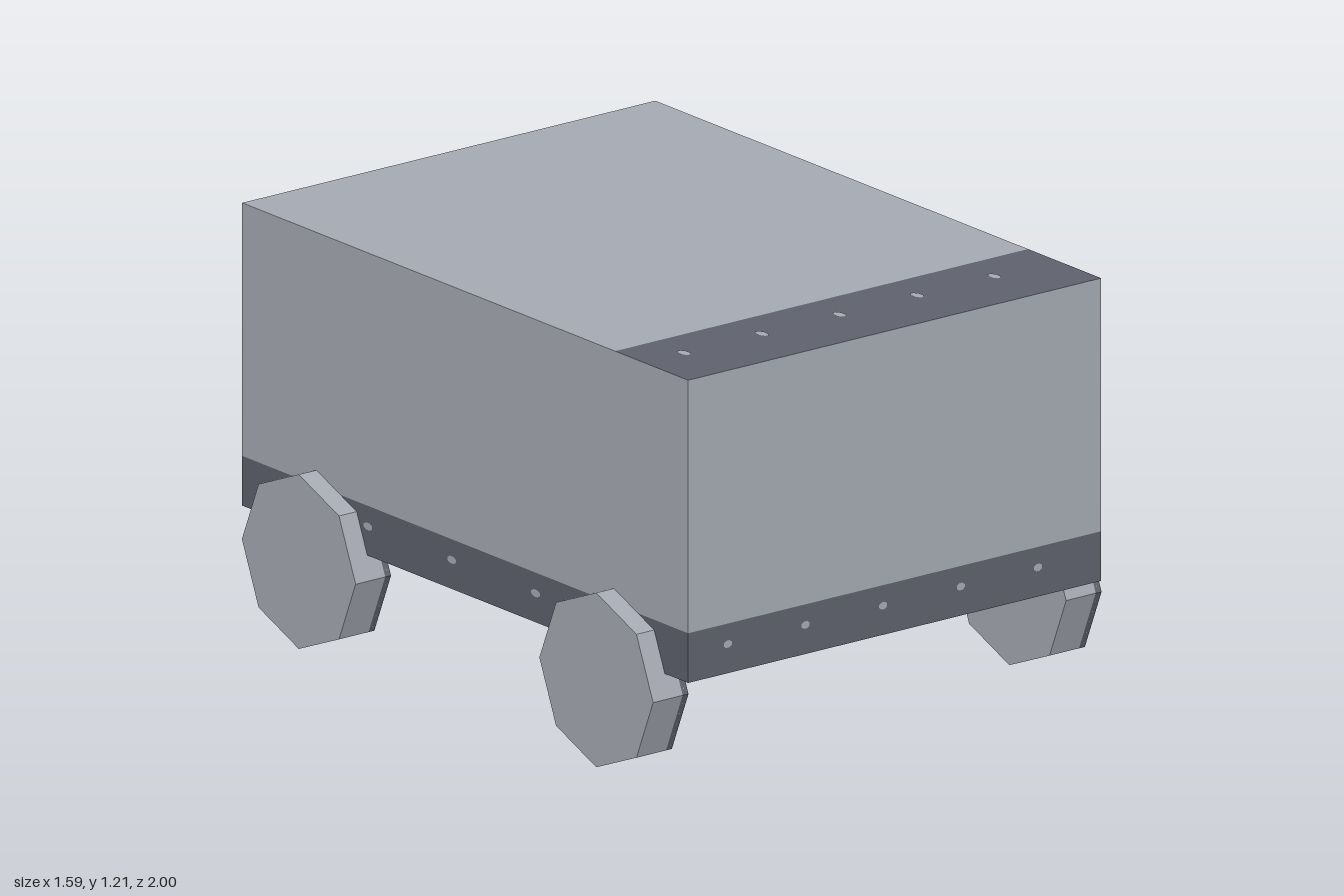
import * as THREE from 'three';

const paint = new THREE.MeshStandardMaterial({ name: 'lightGrey', color: 0xa4a8b1 });
const trim = new THREE.MeshStandardMaterial({ name: 'darkGrey', color: 0x5e606c });

const BAND = 0.164;                              // share of a panel taken by its dark band
const RIVETS = [0.095, 0.283, 0.471, 0.659, 0.846]; // rivet positions across a panel

function add(parent, name, geometry, material, x = 0, y = 0, z = 0) {
  const mesh = new THREE.Mesh(geometry, material);
  mesh.name = name;
  mesh.position.set(x, y, z);
  parent.add(mesh);
  return mesh;
}

// Flat panel with a riveted dark band along its lower edge, set by centre, normal and up
function panel(name, w, h, centre, normal, up, lift) {
  const g = new THREE.Group();
  g.name = name;
  const band = h * BAND;
  add(g, 'plate', new THREE.PlaneGeometry(w, h - band), paint, 0, band / 2, 0);
  add(g, 'band', new THREE.PlaneGeometry(w, band), trim, 0, (band - h) / 2, 0);
  const rivet = new THREE.CircleGeometry(0.5, 8, Math.PI / 8).scale(w * 0.021, h * 0.026, 1);
  for (const u of RIVETS) add(g, 'rivet', rivet, paint, (u - 0.5) * w, (0.097 - 0.5) * h, lift);
  const right = new THREE.Vector3().crossVectors(up, normal);
  g.quaternion.setFromRotationMatrix(new THREE.Matrix4().makeBasis(right, up, normal));
  g.position.copy(centre);
  return g;
}

const V = (x, y, z) => new THREE.Vector3(x, y, z);

function makeBody() {
  const W = 1.46, H = 0.885, D = 2;
  const body = new THREE.Group();
  body.name = 'body';
  body.position.y = 0.32 + H / 2;
  const faces = [
    ['frontPanel', W, H, D / 2, V(0, 0, 1), V(0, 1, 0)],
    ['backPanel', W, H, D / 2, V(0, 0, -1), V(0, 1, 0)],
    ['leftPanel', D, H, W / 2, V(1, 0, 0), V(0, 1, 0)],
    ['rightPanel', D, H, W / 2, V(-1, 0, 0), V(0, 1, 0)],
    ['roofPanel', W, D, H / 2, V(0, 1, 0), V(0, 0, -1)],
    ['floorPanel', W, D, H / 2, V(0, -1, 0), V(0, 0, 1)],
  ];
  for (const [name, w, h, d, n, up] of faces) {
    body.add(panel(name, w, h, n.clone().multiplyScalar(d), n, up, 0.002));
  }
  return body;
}

// Eight-sided wheel, modelled with its axle on z and then turned to x
function makeWheel(name) {
  const R = 0.255, T = 0.125, SIDES = 8, step = Math.PI * 2 / SIDES;
  const wheel = new THREE.Group();
  wheel.name = name;
  const disc = new THREE.CircleGeometry(R, SIDES);
  add(wheel, 'outerDisc', disc, paint, 0, 0, T / 2);
  add(wheel, 'innerDisc', disc, paint, 0, 0, -T / 2).rotation.y = Math.PI;

  // Dark notch mark beside each corner of the disc
  const corner = new THREE.Vector2(R, 0);
  const along = new THREE.Vector2(R * Math.cos(step) - R, -R * Math.sin(step)).normalize();
  const mark = new THREE.ShapeGeometry(new THREE.Shape([
    corner,
    new THREE.Vector2(R - 0.052, 0),
    new THREE.Vector2(R - 0.045, -0.03),
    corner.clone().addScaledVector(along, 0.05),
  ]));
  for (let i = 0; i < SIDES; i++) {
    add(wheel, 'cornerMark', mark, trim, 0, 0, T / 2 + 0.002).rotation.z = i * step;
    const a = (i + 0.5) * step;
    const n = V(Math.cos(a), Math.sin(a), 0);
    const centre = n.clone().multiplyScalar(R * Math.cos(step / 2));
    wheel.add(panel('tread', 2 * R * Math.sin(step / 2), T, centre, n, V(0, 0, -1), 0.001));
  }
  wheel.rotation.y = Math.PI / 2;
  return wheel;
}

export function createModel() {
  const model = new THREE.Group();
  model.name = 'boxCart';
  model.add(makeBody());
  for (const x of [-1, 1]) {
    for (const z of [-1, 1]) {
      const wheel = makeWheel((z > 0 ? 'front' : 'back') + (x > 0 ? 'Left' : 'Right') + 'Wheel');
      wheel.position.set(x * 0.73, 0.255, z * 0.667);
      model.add(wheel);
    }
  }
  return model;
}
